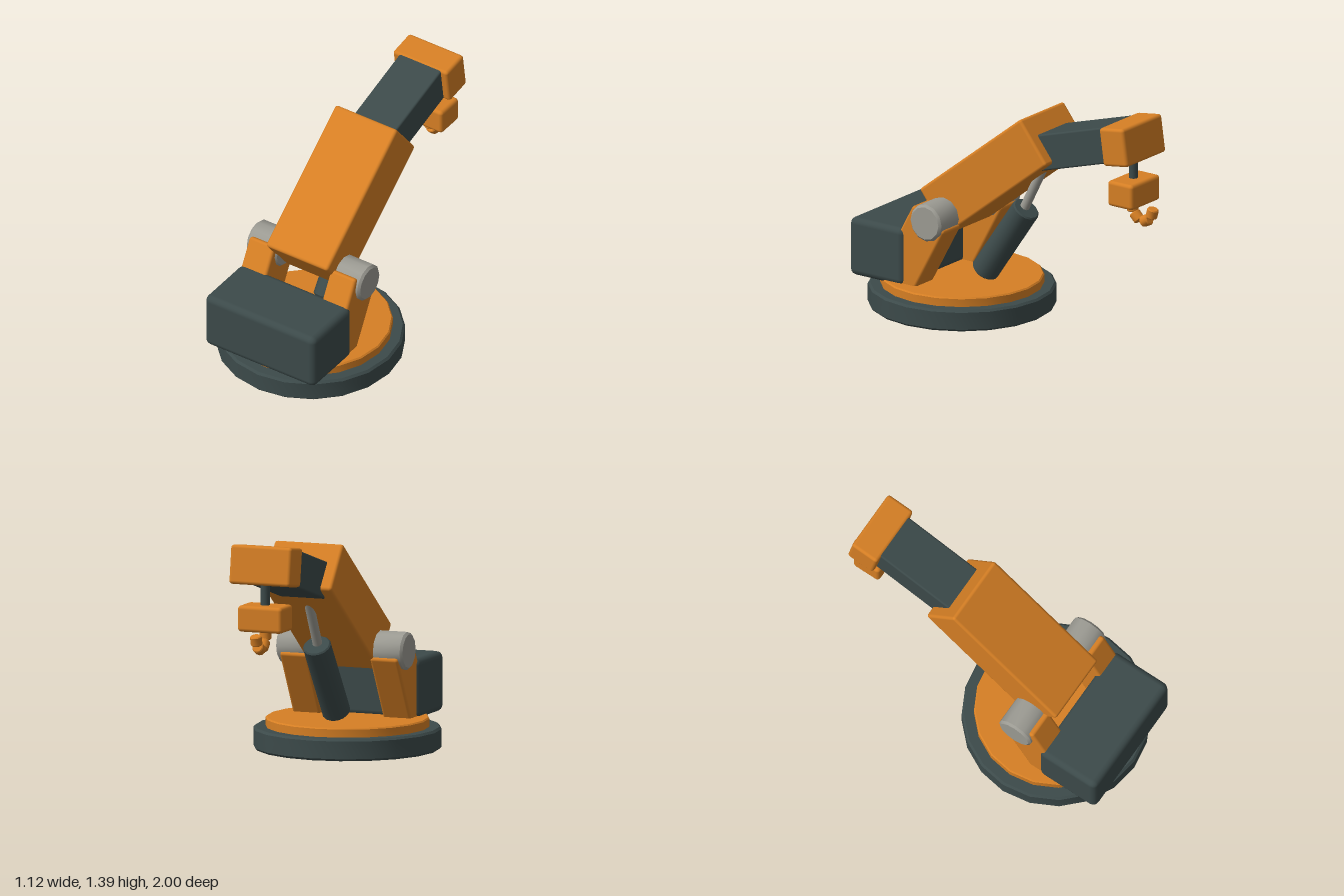
import * as THREE from 'three';
import { toCreasedNormals } from 'three/addons/utils/BufferGeometryUtils.js';
import { RoundedBoxGeometry } from 'three/addons/geometries/RoundedBoxGeometry.js';

const material = (name, color) => {
  const m = new THREE.MeshStandardMaterial({ color });
  m.name = name;
  return m;
};

export function createModel() {
  const orange = material('orange paint', 0xd67f24);
  const dark = material('dark slate', 0x3c4a4a);
  const grey = material('steel grey', 0x9c9b93);
  const model = new THREE.Group();
  model.name = 'robotArm';

  const add = (name, geometry, mat) => {
    const mesh = new THREE.Mesh(geometry, mat);
    mesh.name = name;
    model.add(mesh);
    return mesh;
  };

  // Rounded box, pitched about x so that positive degrees lift its rear end
  const box = (name, mat, size, position, degrees = 0, radius = 0.018) => {
    const mesh = add(name, new RoundedBoxGeometry(...size, 2, radius), mat);
    mesh.position.set(...position);
    mesh.rotation.x = THREE.MathUtils.degToRad(degrees);
    return mesh;
  };

  // Chamfered cylinder running from one point to another
  const rod = (name, mat, radius, from, to, sides = 14, bevel = 0.008) => {
    const a = new THREE.Vector3(...from);
    const axis = new THREE.Vector3(...to).sub(a);
    const h = axis.length();
    const profile = [
      [0, 0], [radius - bevel, 0], [radius, bevel],
      [radius, h - bevel], [radius - bevel, h], [0, h],
    ].map(([x, y]) => new THREE.Vector2(x, y));
    const mesh = add(name, toCreasedNormals(new THREE.LatheGeometry(profile, sides), 0.6), mat);
    mesh.position.copy(a);
    mesh.quaternion.setFromUnitVectors(new THREE.Vector3(0, 1, 0), axis.normalize());
    return mesh;
  };

  // Turntable base
  rod('base', dark, 0.56, [0, 0, 0.44], [0, 0.132, 0.44], 20, 0.013);
  rod('turntable', orange, 0.487, [0, 0.1, 0.44], [0, 0.188, 0.44], 20, 0.008);

  // Counterweight and the leaning shoulder brackets with pivots
  box('counterweight', dark, [0.79, 0.36, 0.405], [0, 0.35, 0.785], 0, 0.04);
  for (const side of [1, -1]) {
    box('shoulderBracket', orange, [0.18, 0.5, 0.264], [side * 0.29, 0.408, 0.53], -28.7);
    rod('shoulderPivot', grey, 0.115, [side * 0.19, 0.605, 0.415], [side * 0.406, 0.605, 0.415], 12, 0.014);
  }

  // Upper arm, forearm and elbow head
  box('upperArm', orange, [0.442, 0.318, 0.945], [0, 0.9, 0.126], 38);
  box('forearm', dark, [0.3, 0.219, 0.62], [0, 1.176, -0.48], 16.4, 0.012);
  box('armHead', orange, [0.392, 0.234, 0.182], [0, 1.263, -0.818], 8.2, 0.02);

  // Hydraulic lift
  rod('liftCylinder', dark, 0.085, [0, 0.235, 0.273], [0, 0.681, -0.035], 14, 0.008);
  rod('liftPiston', grey, 0.029, [0, 0.63, 0.007], [0, 0.98, -0.17], 12, 0.004);

  // Hanging wrist
  rod('wristRod', dark, 0.027, [0, 0.98, -0.825], [0, 1.2, -0.825], 12, 0.004);
  box('wristBlock', orange, [0.285, 0.157, 0.186], [0, 0.952, -0.828], 0, 0.022);

  // Hook made of short links: centre height, centre depth, pitch of the axis
  const links = [[0.852, -0.82, -90], [0.793, -0.852, -45], [0.782, -0.92, 25], [0.835, -0.964, 75]];
  for (const [y, z, degrees] of links) {
    const t = THREE.MathUtils.degToRad(degrees);
    const dy = Math.sin(t) * 0.03;
    const dz = -Math.cos(t) * 0.03;
    rod('hookLink', orange, 0.035, [0, y - dy, z - dz], [0, y + dy, z + dz], 12, 0.006);
  }

  return model;
}
